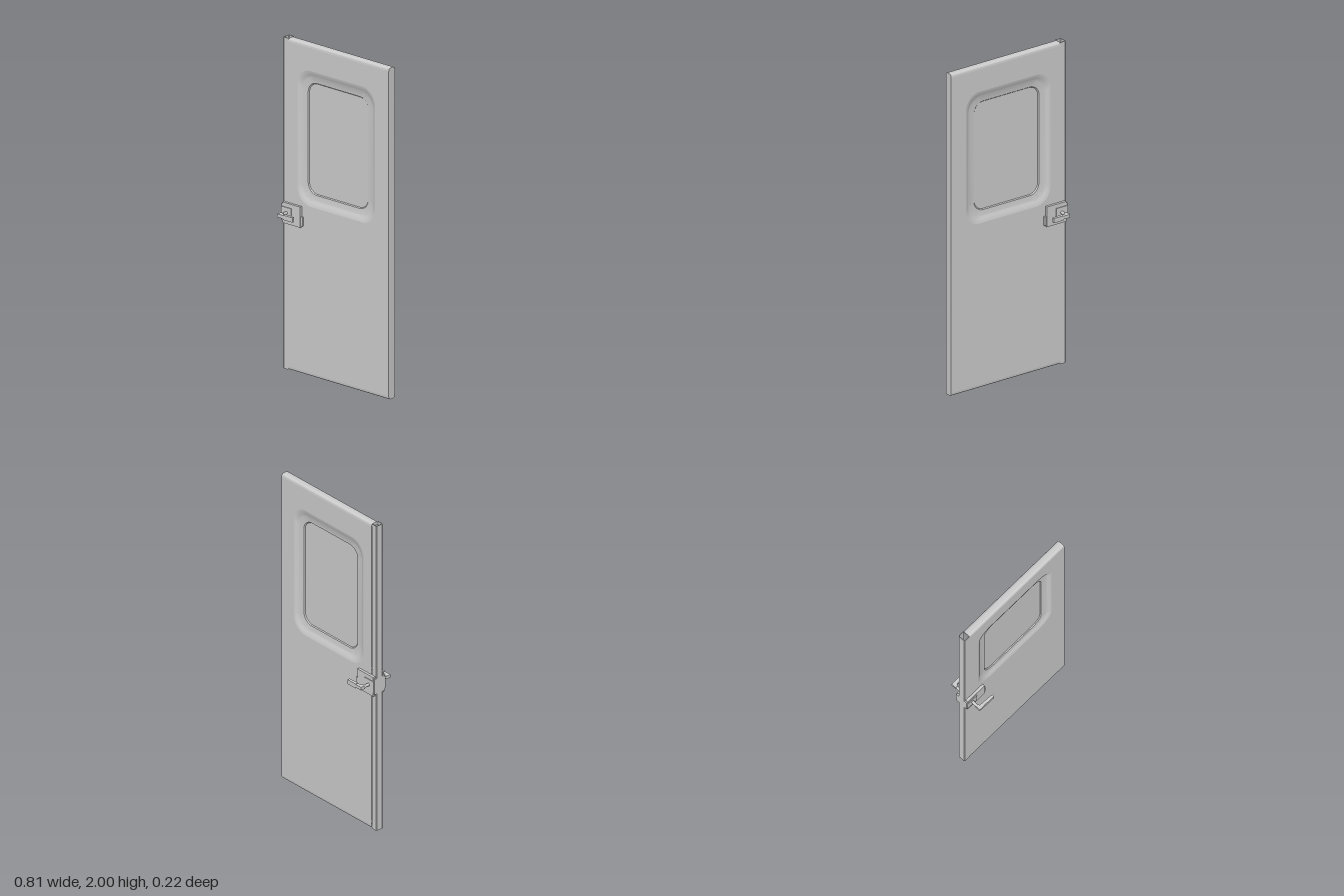
import * as THREE from 'three';
import { toCreasedNormals } from 'three/addons/utils/BufferGeometryUtils.js';

const mat = new THREE.MeshStandardMaterial({ color: 0xcccccc });
const T = 0.0255;            // half thickness of the door
const X0 = -0.365, X1 = 0.405; // main panel extent
const WX = 0.003, WY = 1.433;  // window centre

function add(parent, name, geo) {
  const m = new THREE.Mesh(geo, mat);
  m.name = name;
  parent.add(m);
  return m;
}

// Counter-clockwise rounded rectangle outline around (cx, cy)
function outline(cx, cy, hw, hh, r, n = 10) {
  const pts = [];
  [[1, 1], [-1, 1], [-1, -1], [1, -1]].forEach(([sx, sy], q) => {
    for (let i = 0; i <= n; i++) {
      const a = (q + i / n) * Math.PI / 2;
      pts.push(new THREE.Vector2(cx + sx * (hw - r) + r * Math.cos(a), cy + sy * (hh - r) + r * Math.sin(a)));
    }
  });
  return pts;
}

// Surface through a list of rings [halfWidth, halfHeight, radius, z], outer to inner
function loft(cx, rings) {
  const pos = [], idx = [];
  let n = 0;
  for (const [hw, hh, r, z] of rings) {
    const pts = outline(cx, WY, hw, hh, r);
    n = pts.length;
    pts.forEach(p => pos.push(p.x, p.y, z));
  }
  for (let k = 0; k < rings.length - 1; k++)
    for (let j = 0; j < n; j++) {
      const a = k * n + j, b = k * n + (j + 1) % n;
      idx.push(a, b, b + n, a, b + n, a + n);
    }
  const g = new THREE.BufferGeometry();
  g.setAttribute('position', new THREE.Float32BufferAttribute(pos, 3));
  g.setIndex(idx);
  return toCreasedNormals(g, 0.6);
}

// Extrude a plan outline given as [x, z] upward from y0 to y1
function plan(points, y0, y1) {
  const s = new THREE.Shape(points.map(([x, z]) => new THREE.Vector2(x, -z)));
  return new THREE.ExtrudeGeometry(s, { depth: y1 - y0, bevelEnabled: false })
    .rotateX(-Math.PI / 2).translate(0, y0, 0);
}

function box(x0, x1, y0, y1, z0, z1) {
  return new THREE.BoxGeometry(x1 - x0, y1 - y0, z1 - z0)
    .translate((x0 + x1) / 2, (y0 + y1) / 2, (z0 + z1) / 2);
}

// One skin of the door with its recessed window; s = 1 front, -1 back
function skin(s) {
  const g = new THREE.Group();
  g.name = s > 0 ? 'frontSkin' : 'backSkin';
  if (s < 0) g.rotation.y = Math.PI;
  const rings = [
    [0.298, 0.41, 0.1, T], [0.29, 0.4, 0.096, T - 0.002], [0.28, 0.386, 0.091, T - 0.007],
    [0.272, 0.374, 0.086, T - 0.013], [0.268, 0.37, 0.084, T - 0.014],
    [0.23, 0.338, 0.067, 0.009], [0.225, 0.333, 0.064, 0.003],
  ];
  const xa = s > 0 ? X0 : -X1, xb = s > 0 ? X1 : -X0;
  const face = new THREE.Shape([[xa, 0.02], [xb, 0.02], [xb, 1.98], [xa, 1.98]].map(p => new THREE.Vector2(...p)));
  face.holes.push(new THREE.Path(outline(s * WX, WY, ...rings[0].slice(0, 3)).reverse()));
  add(g, 'panel', new THREE.ShapeGeometry(face).translate(0, 0, T));
  add(g, 'windowFrame', loft(s * WX, rings));
  const pane = new THREE.Shape(outline(s * WX, WY, 0.225, 0.333, 0.064));
  add(g, 'windowPane', new THREE.ShapeGeometry(pane).translate(0, 0, 0.003));
  return g;
}

// Rail with a rounded outer edge along the top or bottom of the door
function rail(yIn, dir) {
  const r = 0.018, yOut = yIn + dir * 0.02;
  const s = new THREE.Shape();
  s.moveTo(-T, yIn);
  s.lineTo(T, yIn);
  s.lineTo(T, yOut - dir * r);
  s.quadraticCurveTo(T, yOut, T - r, yOut);
  s.lineTo(-T + r, yOut);
  s.quadraticCurveTo(-T, yOut, -T, yOut - dir * r);
  const g = new THREE.ExtrudeGeometry(s, { depth: X1 - X0, bevelEnabled: false, curveSegments: 8 });
  return toCreasedNormals(g.rotateY(Math.PI / 2).translate(X0, 0, 0), 0.6);
}

export function createModel() {
  const root = new THREE.Group();
  root.name = 'door';
  const door = new THREE.Group();
  door.name = 'doorAssembly';
  door.position.z = -0.002;
  root.add(door);

  // Door leaf
  door.add(skin(1), skin(-1));
  add(door, 'topRail', rail(1.98, 1));
  add(door, 'bottomRail', rail(0.02, -1));
  add(door, 'hingeEdge', new THREE.PlaneGeometry(2 * T, 1.96).rotateY(Math.PI / 2).translate(X1, 1, 0));

  // Hollow strip along the latch edge
  const e = -0.405, o = T - 0.001, w = 0.003, c = 0.005;
  add(door, 'latchEdge', plan([
    [X0, o], [e + c, o], [e, o - c], [e, -o + c], [e + c, -o], [X0, -o],
    [X0, -o + w], [e + c + 0.001, -o + w], [e + w, -o + c + 0.001],
    [e + w, o - c - 0.001], [e + c + 0.001, o - w], [X0, o - w],
  ], 0, 2));

  // Latch housing on both faces
  const latch = new THREE.Group();
  latch.name = 'latch';
  door.add(latch);
  for (const s of [1, -1]) {
    const side = (name, x0, x1, y0, y1, z) =>
      add(latch, name, box(x0, x1, y0, y1, s > 0 ? 0.015 : -z, s > 0 ? z : -0.015));
    side('latchPlate', -0.396, -0.26, 0.885, 1.01, 0.041);
    side('latchTab', -0.27, -0.247, 0.895, 0.95, 0.037);
    side('latchBoss', -0.403, -0.325, 0.915, 0.985, 0.0455);

    // Post and tapering lever
    add(latch, 'handlePost', new THREE.CylinderGeometry(0.009, 0.009, 0.065, 16)
      .rotateX(Math.PI / 2).translate(-0.361, 0.952, s * 0.07));
    add(latch, 'handleLever', plan([
      [-0.371, s * 0.08], [-0.353, s * 0.08], [-0.35, s * 0.09], [-0.256, s * 0.098],
      [-0.256, s * 0.112], [-0.371, s * 0.112],
    ], 0.942, 0.962));
    add(latch, 'handleGrip', plan([
      [-0.325, s * 0.0925], [-0.2555, s * 0.0975], [-0.2555, s * 0.1125], [-0.325, s * 0.1125],
    ], 0.936, 0.965));
  }
  add(latch, 'latchEdgePlate', box(-0.405, -0.395, 0.9, 1.0, -0.04, 0.04));
  return root;
}
